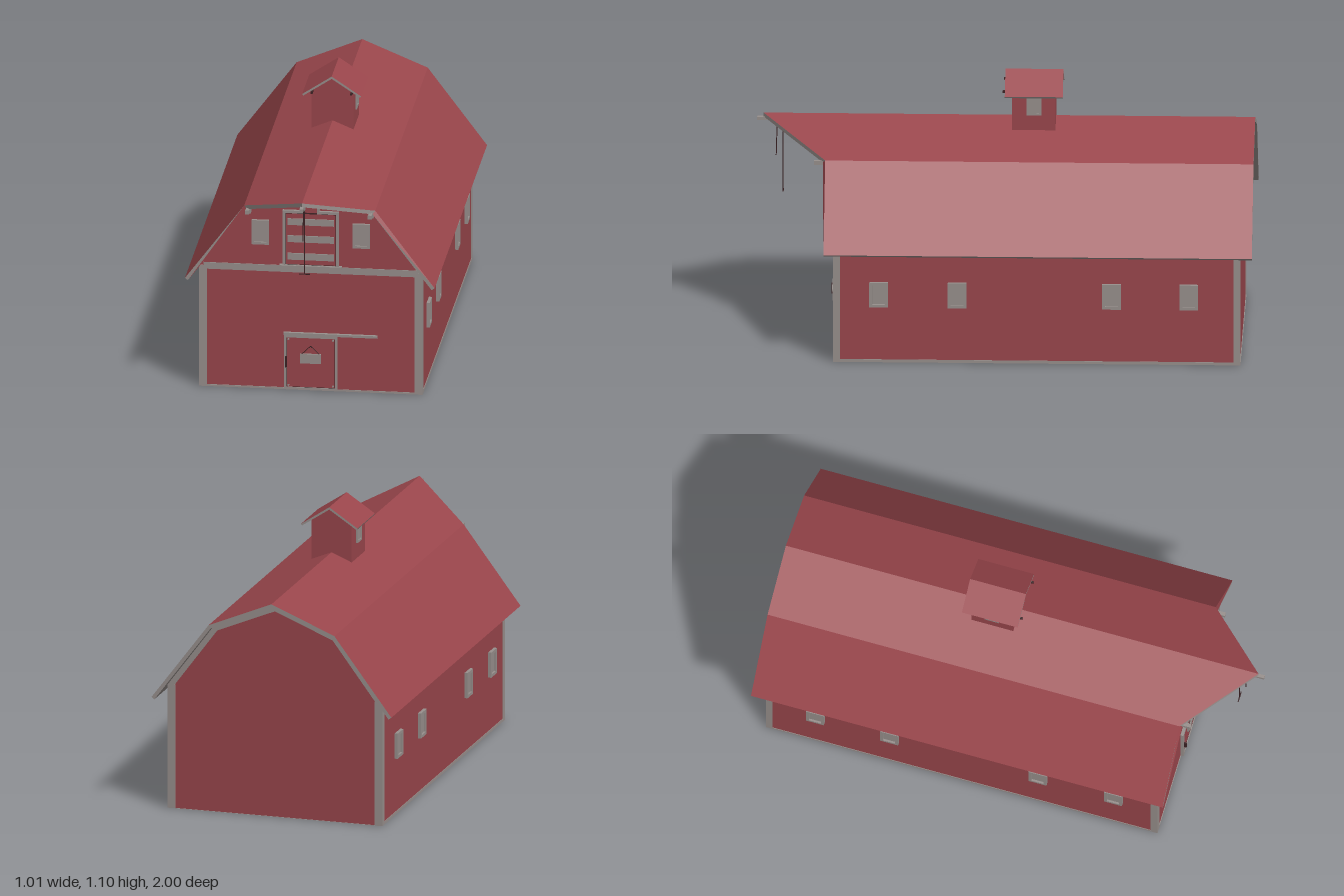
import * as THREE from 'three';

const red = new THREE.MeshStandardMaterial({ color: 0x9a464c, side: THREE.DoubleSide });
red.name = 'barn red';
const grey = new THREE.MeshStandardMaterial({ color: 0x98908d, side: THREE.DoubleSide });
grey.name = 'weathered grey';
const dark = new THREE.MeshStandardMaterial({ color: 0x3c2224 });
dark.name = 'dark iron';

const BACK = -0.95, FRONT = 0.68, HALF = 0.45;

// Mesh with a name
function add(parent, name, geo, mat) {
  const m = new THREE.Mesh(geo, mat);
  m.name = name;
  parent.add(m);
  return m;
}

// Box given by its limits on each axis
function box(parent, name, mat, x0, x1, y0, y1, z0, z1) {
  const m = add(parent, name, new THREE.BoxGeometry(x1 - x0, y1 - y0, z1 - z0), mat);
  m.position.set((x0 + x1) / 2, (y0 + y1) / 2, (z0 + z1) / 2);
  return m;
}

// Thin bar between two points
function bar(parent, name, mat, a, b, r) {
  const p = new THREE.Vector3(...a), q = new THREE.Vector3(...b);
  return add(parent, name, new THREE.TubeGeometry(new THREE.LineCurve3(p, q), 1, r, 6), mat);
}

// Rectangular frame lying in the xy plane
function frame(parent, name, mat, x0, x1, y0, y1, z0, z1, w) {
  box(parent, name, mat, x0, x0 + w, y0, y1, z0, z1);
  box(parent, name, mat, x1 - w, x1, y0, y1, z0, z1);
  box(parent, name, mat, x0 + w, x1 - w, y1 - w, y1, z0, z1);
  box(parent, name, mat, x0 + w, x1 - w, y0, y0 + w, z0, z1);
}

// Closed symmetric outline from right-half points
const mirrored = (half) => [...half, ...half.slice().reverse().filter(([x]) => x !== 0).map(([x, y]) => [-x, y])];
const vecs = (pts) => pts.map(([x, y]) => new THREE.Vector2(x, y));

function extrude(pts, z0, z1, hole) {
  const s = new THREE.Shape(vecs(pts));
  if (hole) s.holes.push(new THREE.Path(vecs(hole)));
  const g = new THREE.ExtrudeGeometry(s, { depth: z1 - z0, bevelEnabled: false });
  return g.translate(0, 0, z0);
}

// Roof with red upward faces and grey edges and underside
function roofMesh(parent, name, g) {
  g = g.index ? g.toNonIndexed() : g;
  g.computeVertexNormals();
  g.clearGroups();
  const n = g.attributes.normal;
  for (let i = 0; i < n.count; i += 3) g.addGroup(i, 3, n.getY(i) > 0.3 ? 0 : 1);
  return add(parent, name, g, [red, grey]);
}

// Window of a frame and a recessed pane, facing +z at the origin
function windowUnit(name, w, h, border, depth) {
  const g = new THREE.Group();
  g.name = name;
  frame(g, 'windowFrame', grey, -w / 2, w / 2, -h / 2, h / 2, 0, depth, border);
  box(g, 'windowPane', grey, -w / 2 + border, w / 2 - border, -h / 2 + border, h / 2 - border, 0, depth * 0.4);
  return g;
}

export function createModel() {
  const barn = new THREE.Group();
  barn.name = 'barn';

  // Walls, open underneath
  const gable = mirrored([[HALF, 0], [HALF, 0.517], [0.255, 0.778], [0, 0.884]]);
  add(barn, 'frontWall', extrude(gable, FRONT - 0.01, FRONT), red);
  add(barn, 'backWall', extrude(gable, BACK, BACK + 0.01), red);
  for (const s of [-1, 1]) {
    const w = box(barn, 'sideWall', red, HALF - 0.01, HALF, 0, 0.517, BACK + 0.01, FRONT - 0.01);
    w.position.x *= s;
  }

  // Corner posts, sills and the band across the front
  for (const s of [-1, 1]) {
    for (const [z0, z1] of [[FRONT - 0.025, FRONT + 0.003], [BACK - 0.003, BACK + 0.025]]) {
      const p = box(barn, 'cornerPost', grey, HALF - 0.03, HALF + 0.002, 0, 0.515, z0, z1);
      p.position.x *= s;
    }
    const sill = box(barn, 'sideSill', grey, HALF - 0.012, HALF + 0.002, 0, 0.012, BACK, FRONT);
    sill.position.x *= s;
  }
  box(barn, 'frontBand', grey, -0.435, 0.435, 0.5, 0.528, FRONT - 0.013, FRONT + 0.003);
  box(barn, 'frontSill', grey, -0.42, 0.42, 0, 0.008, FRONT - 0.012, FRONT + 0.003);
  const rakeInner = mirrored([[0.425, 0.001], [0.425, 0.512], [0.243, 0.757], [0, 0.858]]);
  add(barn, 'backRakeTrim', extrude(gable, BACK - 0.003, BACK, rakeInner), grey);

  // Gambrel roof whose upper slopes reach forward to a point
  const roofGeo = extrude([
    [0.505, 0.47], [0.265, 0.79], [0, 0.9], [-0.265, 0.79], [-0.505, 0.47],
    [-0.493, 0.461], [-0.255, 0.778], [0, 0.884], [0.255, 0.778], [0.493, 0.461],
  ], -1, 0.72);
  const rp = roofGeo.attributes.position;
  for (let i = 0; i < rp.count; i++) {
    if (rp.getZ(i) > 0) rp.setZ(i, 0.72 + 0.255 * Math.max(0, 1 - Math.abs(rp.getX(i)) / 0.265));
  }
  roofMesh(barn, 'gambrelRoof', roofGeo);

  // Ceiling lining
  const lining = extrude([
    [0.445, 0.52], [0.254, 0.776], [0, 0.882], [-0.254, 0.776], [-0.445, 0.52],
    [-0.441, 0.514], [-0.251, 0.772], [0, 0.877], [0.251, 0.772], [0.441, 0.514],
  ], BACK + 0.01, FRONT - 0.01);
  add(barn, 'ceilingLining', lining, red);

  // Side and gable windows
  for (const s of [-1, 1]) {
    for (const z of [0.5, 0.185, -0.435, -0.745]) {
      const w = windowUnit('sideWindow', 0.075, 0.105, 0.012, 0.013);
      w.position.set(s * HALF, 0.288, z);
      w.rotation.y = s * Math.PI / 2;
      barn.add(w);
    }
    const w = windowUnit('gableWindow', 0.07, 0.103, 0.01, 0.012);
    w.position.set(s * 0.204, 0.667, FRONT);
    barn.add(w);
    // Roof brackets
    box(barn, 'roofBracket', grey, s * 0.248 - 0.008, s * 0.248 + 0.008, 0.768, 0.784, FRONT, 0.765);
    box(barn, 'roofBracket', grey, s * 0.248 - 0.007, s * 0.248 + 0.007, 0.75, 0.766, FRONT, 0.7);
  }

  // Sliding door with rail, handle and bolts
  const door = new THREE.Group();
  door.name = 'slidingDoor';
  barn.add(door);
  box(door, 'doorPanel', red, -0.1, 0.1, 0.01, 0.228, FRONT, FRONT + 0.008);
  frame(door, 'doorFrame', grey, -0.108, 0.108, 0.004, 0.235, FRONT, FRONT + 0.013, 0.01);
  frame(door, 'doorGap', dark, -0.099, 0.099, 0.013, 0.226, FRONT, FRONT + 0.009, 0.002);
  box(door, 'doorRail', grey, -0.11, 0.27, 0.235, 0.245, FRONT, FRONT + 0.013);
  box(door, 'doorHandle', dark, -0.103, -0.098, 0.1, 0.145, FRONT + 0.012, FRONT + 0.024);
  for (const x of [-0.09, 0.09]) for (const y of [0.022, 0.217]) {
    const b = add(door, 'doorBolt', new THREE.CylinderGeometry(0.004, 0.004, 0.006, 8), grey);
    b.rotation.x = Math.PI / 2;
    b.position.set(x, y, FRONT + 0.009);
  }

  // Hanging board on the door
  box(door, 'hangingBoard', grey, -0.042, 0.042, 0.118, 0.158, FRONT + 0.009, FRONT + 0.017);
  for (const s of [-1, 1]) bar(door, 'boardCord', dark, [s * 0.035, 0.157, 0.693], [0, 0.192, 0.693], 0.0015);

  // Loft door with slats and a frame running up to the ridge
  const loft = new THREE.Group();
  loft.name = 'loftDoor';
  barn.add(loft);
  box(loft, 'loftPanel', red, -0.1, 0.1, 0.535, 0.753, FRONT, FRONT + 0.006);
  frame(loft, 'loftGap', dark, -0.103, 0.103, 0.533, 0.755, FRONT, FRONT + 0.008, 0.003);
  for (const [y0, y1] of [[0.556, 0.584], [0.631, 0.659], [0.704, 0.731]])
    box(loft, 'loftSlat', grey, -0.094, 0.094, y0, y1, FRONT, FRONT + 0.011);
  box(loft, 'loftSill', grey, -0.126, 0.126, 0.521, 0.534, FRONT, FRONT + 0.02);
  const loftFrame = mirrored([[0.114, 0.53], [0.114, 0.766], [0.036, 0.766], [0.036, 0.868], [0.02, 0.875]]);
  const loftHole = mirrored([[0.103, 0.535], [0.103, 0.755], [0.026, 0.755], [0.026, 0.86]]);
  add(loft, 'loftFrame', extrude(loftFrame, FRONT, FRONT + 0.013, loftHole), grey);

  // Hoist beam, pulley, ropes and hook
  const hoist = new THREE.Group();
  hoist.name = 'hoist';
  barn.add(hoist);
  box(hoist, 'hoistBeam', grey, -0.007, 0.007, 0.87, 0.884, FRONT, 1);
  const pulley = add(hoist, 'pulley', new THREE.CylinderGeometry(0.012, 0.012, 0.008, 12), grey);
  pulley.rotation.z = Math.PI / 2;
  pulley.position.set(0, 0.855, 0.908);
  bar(hoist, 'longRope', dark, [0, 0.86, 0.896], [0, 0.57, 0.896], 0.0022);
  bar(hoist, 'shortRope', dark, [0, 0.86, 0.92], [-0.003, 0.72, 0.924], 0.0022);
  bar(hoist, 'hookBar', dark, [-0.022, 0.571, 0.896], [0.022, 0.571, 0.896], 0.0025);

  // Cupola with gabled roof and side windows
  const cupola = new THREE.Group();
  cupola.name = 'cupola';
  barn.add(cupola);
  const cupolaWall = mirrored([[0.085, 0.85], [0.085, 1.03], [0, 1.085]]);
  add(cupola, 'cupolaWalls', extrude(cupolaWall, -0.2, -0.025), red);
  roofMesh(cupola, 'cupolaRoof', extrude([
    [0.119, 1.017], [0, 1.096], [-0.119, 1.017], [-0.115, 1.01], [0, 1.086], [0.115, 1.01],
  ], -0.23, 0.003));
  for (const s of [-1, 1]) {
    const w = windowUnit('cupolaWindow', 0.06, 0.08, 0.009, 0.007);
    w.position.set(s * 0.085, 0.97, -0.113);
    w.rotation.y = s * Math.PI / 2;
    cupola.add(w);
    box(cupola, 'cupolaBracket', dark, s * 0.08 - 0.004, s * 0.08 + 0.004, 1.022, 1.03, -0.025, 0.012);
  }
  return barn;
}
